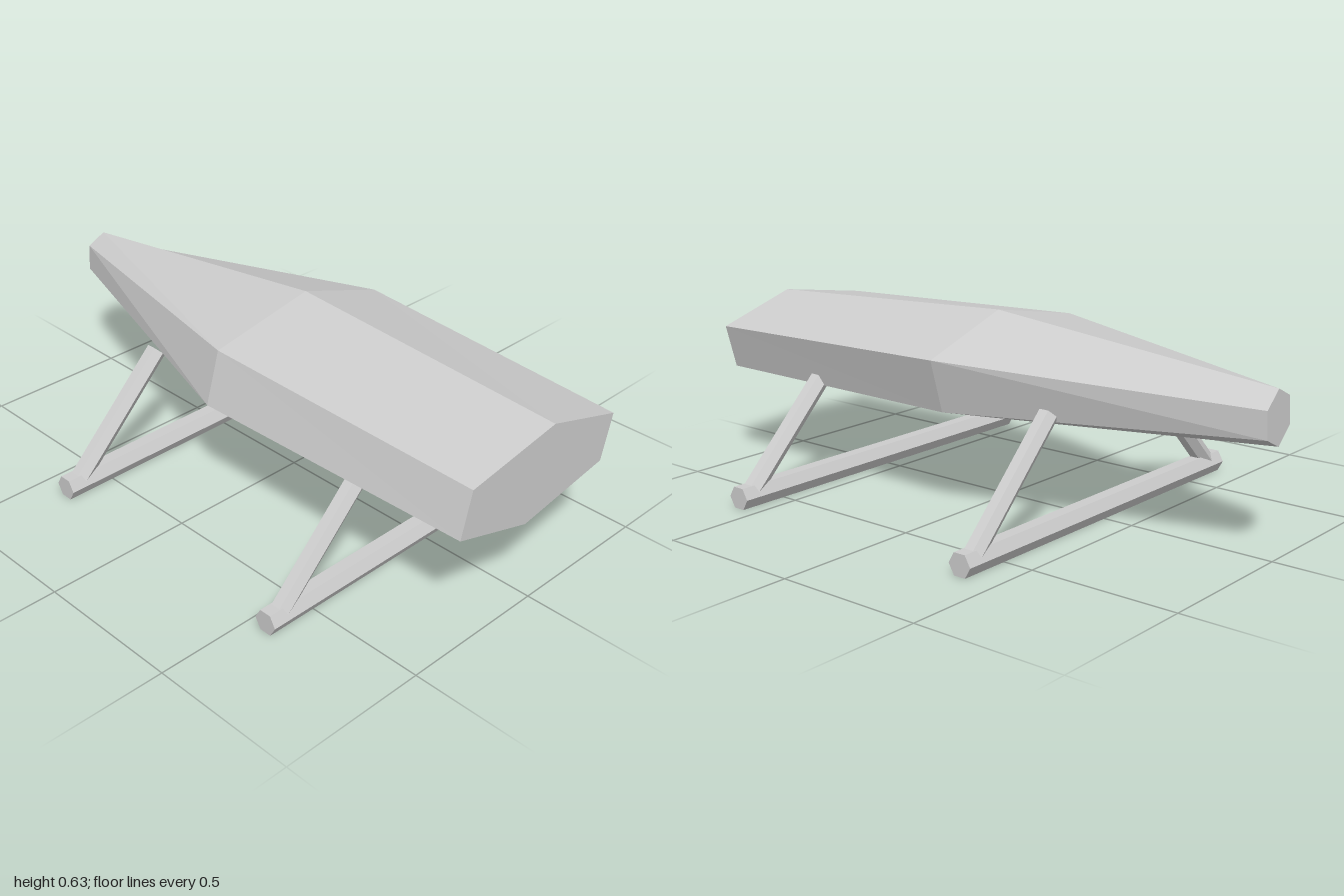
import * as THREE from 'three';

const grey = new THREE.MeshStandardMaterial({ color: 0xcccccc, flatShading: true });
grey.name = 'light grey';

// Half of each six-sided section; the other half is its point reflection about (0, cy)
const sections = [
  { z: 1, cy: 0.4375, half: [[0.05, 0.585], [0.343, 0.495], [0.302, 0.346]] },
  { z: 0, cy: 0.4575, half: [[0.052, 0.635], [0.377, 0.525], [0.326, 0.35]] },
  { z: -1, cy: 0.4375, half: [[0.006, 0.525], [0.066, 0.471], [0.06, 0.382]] },
];

function hullGeometry() {
  const rings = sections.map(({ z, cy, half }) => [
    ...half.map(([x, y]) => new THREE.Vector3(x, y, z)),
    ...half.map(([x, y]) => new THREE.Vector3(-x, 2 * cy - y, z)),
  ]);
  const pts = [];
  // Side skin between neighbouring sections
  for (let r = 0; r < rings.length - 1; r++) {
    const a = rings[r], b = rings[r + 1];
    for (let i = 0; i < 6; i++) {
      const j = (i + 1) % 6;
      pts.push(a[i], a[j], b[j], a[i], b[j], b[i]);
    }
  }
  // Flat ends
  const front = rings[0], back = rings[rings.length - 1];
  for (let k = 1; k < 5; k++) {
    pts.push(front[0], front[k + 1], front[k], back[0], back[k], back[k + 1]);
  }
  const geo = new THREE.BufferGeometry().setFromPoints(pts);
  geo.computeVertexNormals();
  return geo;
}

// Six-sided bar between two points in the xy plane
function bar(name, x1, y1, x2, y2, radius) {
  const dx = x2 - x1, dy = y2 - y1;
  const mesh = new THREE.Mesh(
    new THREE.CylinderGeometry(radius, radius, Math.hypot(dx, dy), 6), grey);
  mesh.position.set((x1 + x2) / 2, (y1 + y2) / 2, 0);
  mesh.rotation.z = Math.atan2(-dx, dy);
  mesh.name = name;
  return mesh;
}

export function createModel() {
  const model = new THREE.Group();
  model.name = 'hullOnStands';

  const hull = new THREE.Mesh(hullGeometry(), grey);
  hull.name = 'hull';
  model.add(hull);

  // Two trestles: a ground bar with a slanted strut on each side
  for (const [name, z] of [['frontStand', 0.575], ['rearStand', -0.375]]) {
    const stand = new THREE.Group();
    stand.name = name;
    stand.position.z = z;
    stand.add(bar('groundBar', -0.675, 0.036, 0.675, 0.036, 0.041));
    for (const s of [-1, 1]) {
      stand.add(bar(s > 0 ? 'leftStrut' : 'rightStrut', s * 0.635, 0.03, s * 0.27, 0.395, 0.033));
    }
    model.add(stand);
  }
  return model;
}
